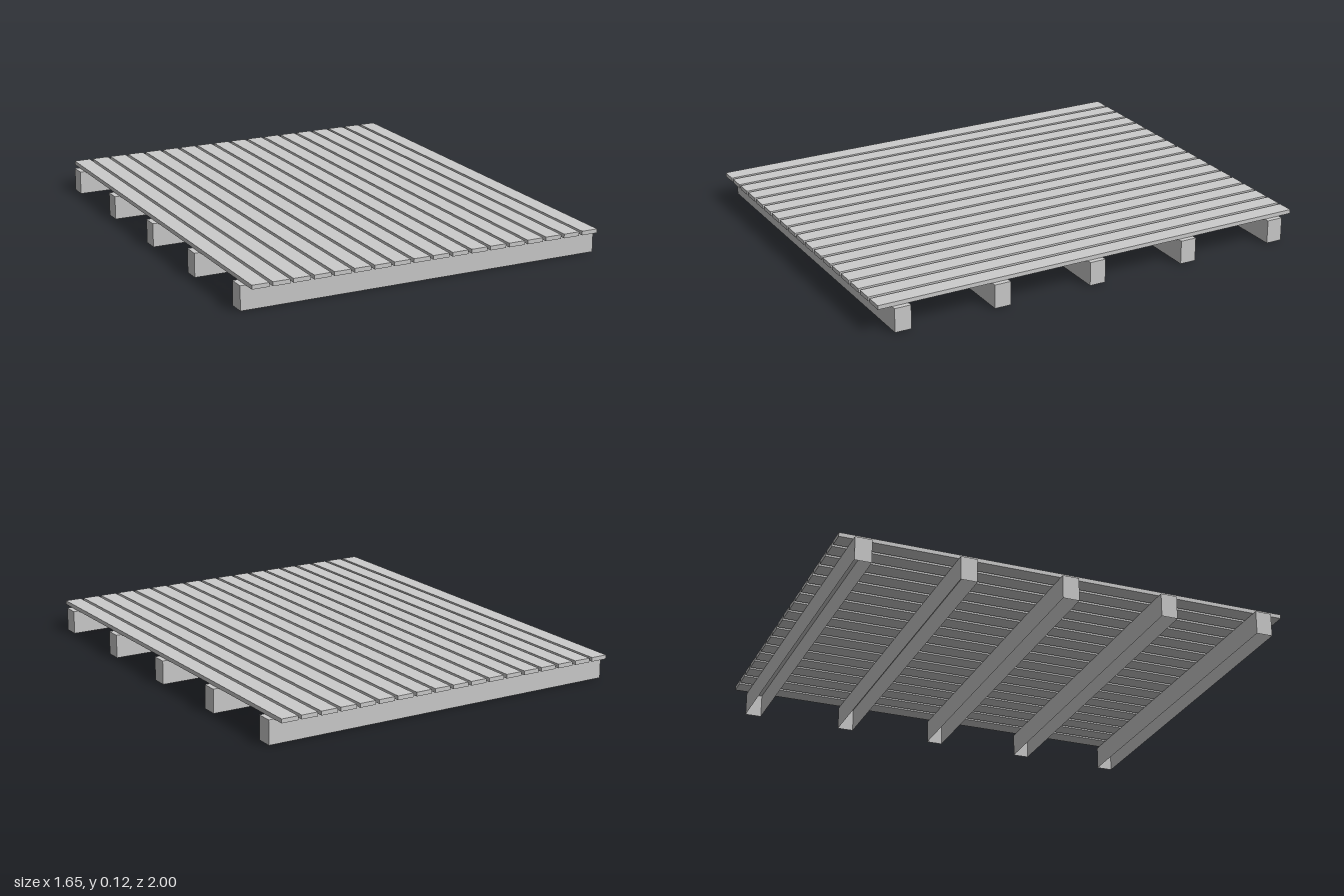
import * as THREE from 'three';

const SLATS = 18, SLAT_W = 0.075, PITCH = 0.09, SLAT_T = 0.018;
const BEAMS = 5, BEAM_W = 0.073, BEAM_H = 0.105, BEAM_L = 1.65, BEAM_STEP = 0.451;

// Box without its underside, so the beam is a hollow channel
function openBox(w, h, d) {
  const geo = new THREE.BoxGeometry(w, h, d);
  const index = Array.from(geo.index.array);
  index.splice(18, 6); // fourth face of the box is the bottom
  geo.setIndex(index);
  geo.clearGroups();
  return geo;
}

export function createModel() {
  const model = new THREE.Group();
  model.name = 'slattedDeck';
  const material = new THREE.MeshStandardMaterial({ color: 0xcccccc, side: THREE.DoubleSide });

  // Bearer beams running across the width
  const beams = new THREE.Group();
  beams.name = 'beams';
  const beamGeo = openBox(BEAM_L, BEAM_H, BEAM_W);
  for (let i = 0; i < BEAMS; i++) {
    const beam = new THREE.Mesh(beamGeo, material);
    beam.name = 'beam';
    beam.position.set(0, BEAM_H / 2, (i - (BEAMS - 1) / 2) * BEAM_STEP);
    beams.add(beam);
  }

  // Thin deck slats running front to back, with narrow gaps
  const slats = new THREE.Group();
  slats.name = 'slats';
  const slatGeo = new THREE.BoxGeometry(SLAT_W, SLAT_T, 2);
  for (let i = 0; i < SLATS; i++) {
    const slat = new THREE.Mesh(slatGeo, material);
    slat.name = 'slat';
    slat.position.set((i - (SLATS - 1) / 2) * PITCH, BEAM_H + SLAT_T / 2, 0);
    slats.add(slat);
  }

  model.add(beams, slats);
  return model;
}
